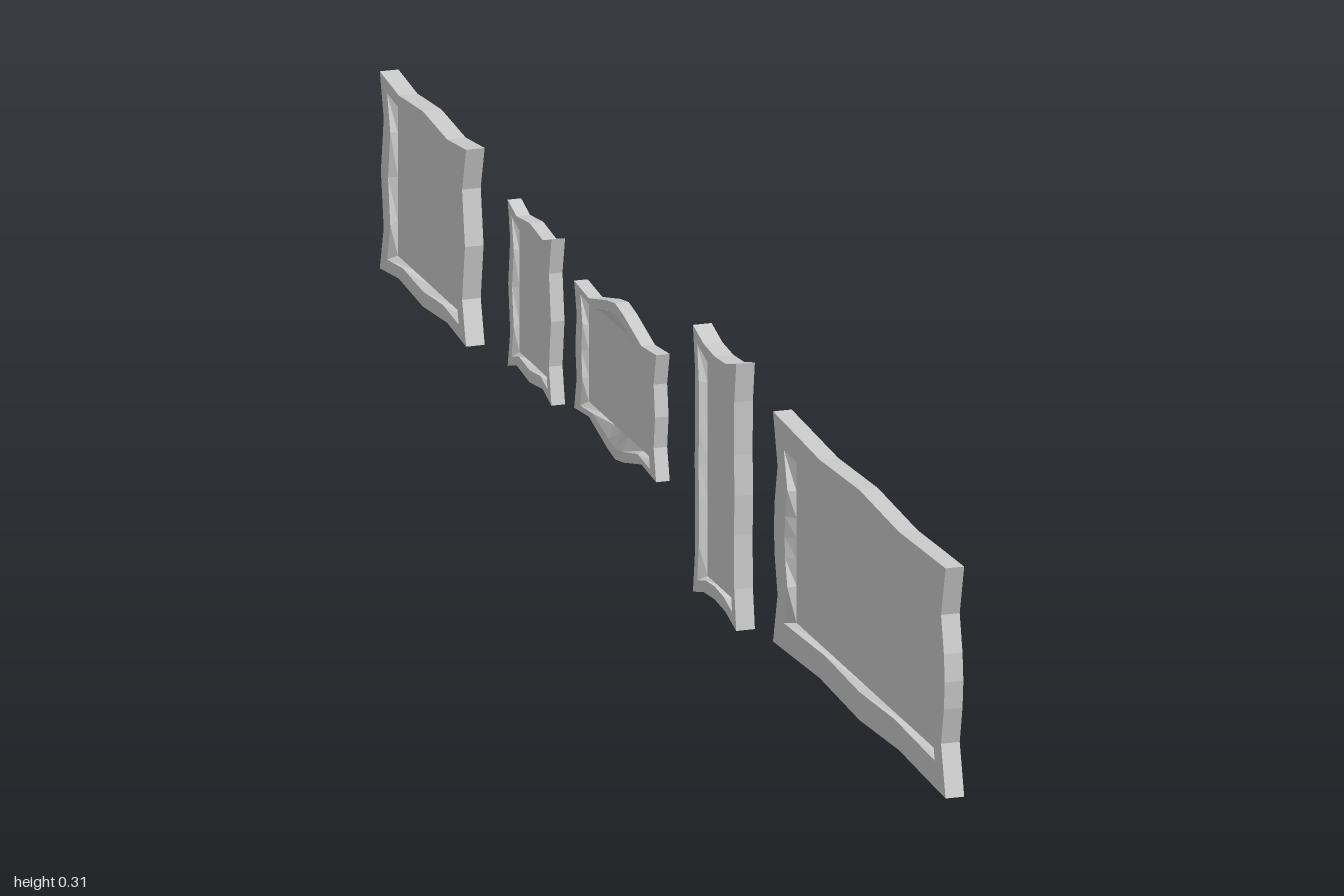
import * as THREE from 'three';

const material = new THREE.MeshStandardMaterial({ color: 0xcccccc, flatShading: true });
const panelMaterial = new THREE.MeshStandardMaterial({ color: 0xcccccc, side: THREE.DoubleSide });

// z and y: extents between corners; half: half thickness in x;
// front/back: width of the flat rim [z, y]; panel: inset of the panel edge [z, y];
// ends/rails: outward offset of the outline at fractions along the upright and level sides.
const FRAMES = [
  { name: 'wideFrame', z: [0.39, 1], y: [0.027, 0.297], half: 0.011,
    front: [0.024, 0.022], back: [0.038, 0.033], panel: [0.05, 0.036],
    ends: [[0.22, -0.016], [0.38, -0.006], [0.5, -0.003], [0.62, -0.006], [0.78, -0.016]],
    rails: [[0.12, -0.003], [0.27, -0.007], [0.5, 0], [0.73, -0.007], [0.88, -0.003]] },
  { name: 'tallFrame', z: [0.107, 0.26], y: [0, 0.313], half: 0.011,
    front: [0.015, 0.018], back: [0.015, 0.018], panel: [0.019, 0.023],
    ends: [[0.15, -0.007], [0.35, -0.008], [0.5, -0.006], [0.65, -0.008], [0.85, -0.007]],
    rails: [[0.25, -0.011], [0.5, -0.014], [0.75, -0.011]] },
  { name: 'peakedFrame', z: [-0.322, -0.032], y: [0.086, 0.235], half: 0.008,
    front: [0.022, 0.009], back: [0.022, 0.009], panel: [0.028, 0.015],
    ends: [[0.25, -0.009], [0.5, -0.004], [0.75, -0.009]],
    rails: [[0.18, -0.005], [0.4, 0.012], [0.5, 0.017], [0.6, 0.012], [0.82, -0.005]] },
  { name: 'smallFrame', z: [-0.557, -0.402], y: [0.064, 0.259], half: 0.008,
    front: [0.014, 0.015], back: [0.014, 0.015], panel: [0.018, 0.021],
    ends: [[0.22, -0.009], [0.5, -0.002], [0.78, -0.009]],
    rails: [[0.2, -0.01], [0.5, -0.004], [0.8, -0.01]] },
  { name: 'squareFrame', z: [-1, -0.695], y: [0.045, 0.276], half: 0.011,
    front: [0.024, 0.018], back: [0.026, 0.018], panel: [0.031, 0.023],
    ends: [[0.22, -0.014], [0.5, -0.004], [0.78, -0.014]],
    rails: [[0.22, -0.008], [0.5, -0.001], [0.78, -0.008]] },
];

// Wavy rectangle at one depth, anticlockwise seen from +x
function outline(f, x, [dz, dy], wave) {
  const z0 = f.z[0] + dz, z1 = f.z[1] - dz, y0 = f.y[0] + dy, y1 = f.y[1] - dy;
  const sides = [
    [z1, y0, z0, y0, 0, -1, f.rails],
    [z0, y0, z0, y1, -1, 0, f.ends],
    [z0, y1, z1, y1, 0, 1, f.rails],
    [z1, y1, z1, y0, 1, 0, f.ends],
  ];
  const points = [];
  for (const [za, ya, zb, yb, nz, ny, bumps] of sides) {
    for (const [t, offset] of [[0, 0], ...bumps]) {
      const d = offset * wave;
      points.push([x, ya + (yb - ya) * t + ny * d, za + (zb - za) * t + nz * d]);
    }
  }
  return points;
}

// Skin the closed loop of outlines: rim, sloping inner walls, back rim, outer edge
function mouldingGeometry(f) {
  const rings = [
    outline(f, f.half, [0, 0], 1),
    outline(f, f.half, f.front, 0.8),
    outline(f, 0, f.panel, 0),
    outline(f, -f.half, f.back, 0.8),
    outline(f, -f.half, [0, 0], 1),
  ];
  const positions = [];
  rings.forEach((ring, j) => {
    const next = rings[(j + 1) % rings.length];
    ring.forEach((a, i) => {
      const k = (i + 1) % ring.length;
      positions.push(...a, ...ring[k], ...next[k], ...a, ...next[k], ...next[i]);
    });
  });
  const geometry = new THREE.BufferGeometry();
  geometry.setAttribute('position', new THREE.Float32BufferAttribute(positions, 3));
  geometry.computeVertexNormals();
  return geometry;
}

export function createModel() {
  const group = new THREE.Group();
  group.name = 'pictureFrames';
  for (const f of FRAMES) {
    const frame = new THREE.Group();
    frame.name = f.name;

    const moulding = new THREE.Mesh(mouldingGeometry(f), material);
    moulding.name = 'moulding';

    // Thin panel set halfway through the frame, seen from both sides
    const width = f.z[1] - f.z[0] - 2 * f.panel[0];
    const height = f.y[1] - f.y[0] - 2 * f.panel[1];
    const panel = new THREE.Mesh(new THREE.PlaneGeometry(width, height), panelMaterial);
    panel.name = 'picturePanel';
    panel.rotation.y = Math.PI / 2;
    panel.position.set(0, (f.y[0] + f.y[1]) / 2, (f.z[0] + f.z[1]) / 2);

    frame.add(moulding, panel);
    group.add(frame);
  }
  return group;
}
